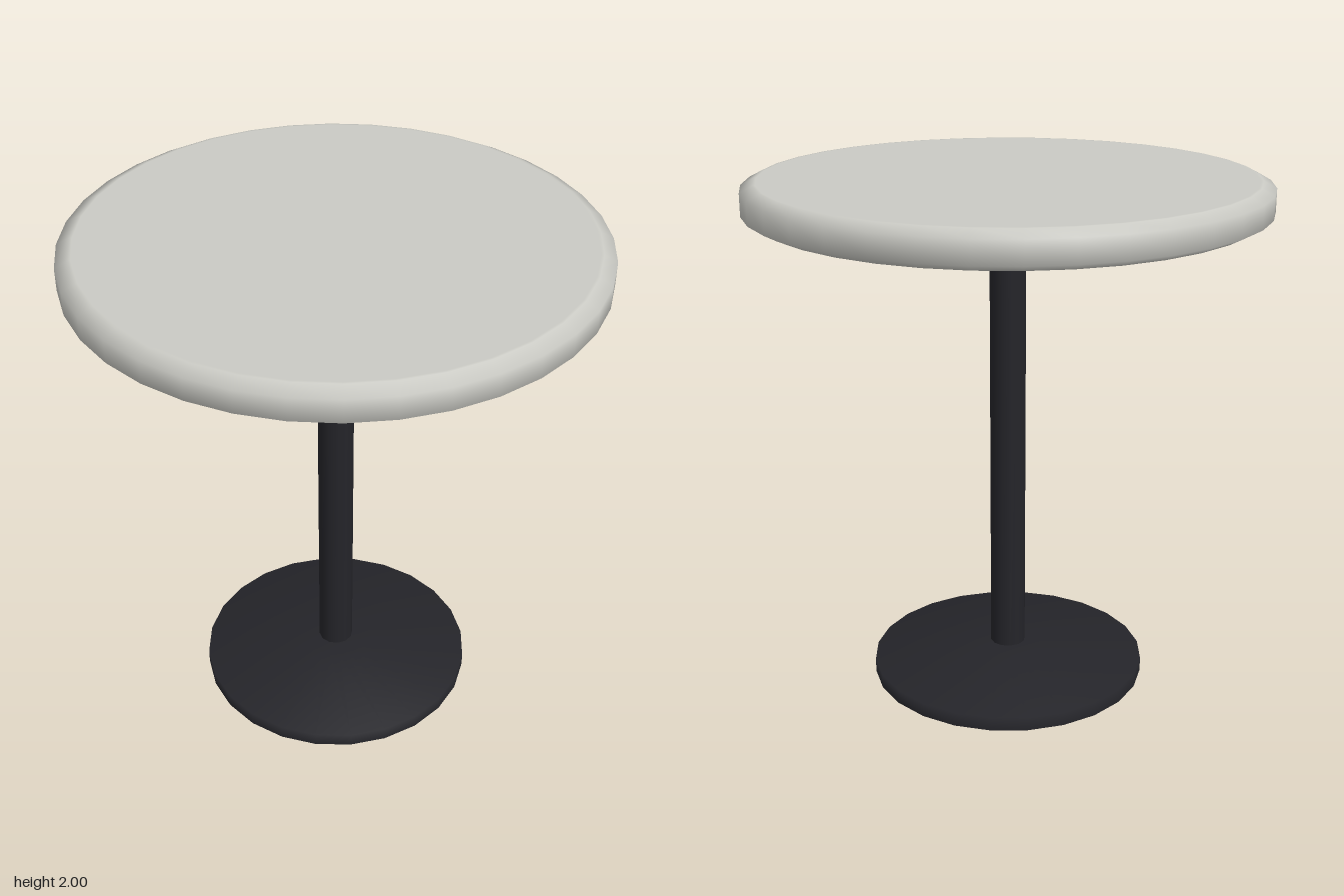
import * as THREE from 'three';

const material = (color) => new THREE.MeshStandardMaterial({ color, side: THREE.DoubleSide });

// Revolved open shell; profile runs from the bottom edge up to the axis
const shell = (points, segments) =>
  new THREE.LatheGeometry(points.map(([r, y]) => new THREE.Vector2(r, y)), segments);

export function createModel() {
  const table = new THREE.Group();
  table.name = 'pedestalTable';
  const topMat = material(0xcacac4);
  const darkMat = material(0x242429);

  const add = (name, geometry, mat) => {
    const mesh = new THREE.Mesh(geometry, mat);
    mesh.name = name;
    table.add(mesh);
    return mesh;
  };

  // Round top: a hollow shell, bevelled above and below, open underneath
  add('tabletop', shell([
    [0.925, 1.865], [0.973, 1.89], [0.973, 1.975], [0.925, 2], [0.915, 2], [0, 2],
  ], 36), topMat);

  // Column: an open tube reaching into the hollow foot and the hollow top
  const bottom = 0.075;
  const top = 1.895;
  const column = add('column',
    new THREE.CylinderGeometry(0.069, 0.069, top - bottom, 12, 1, true), darkMat);
  column.position.y = (top + bottom) / 2;
  column.rotation.y = Math.PI / 12;

  // Foot: a hollow, gently sloping disc, open underneath
  add('base', shell([[0.54, 0], [0.54, 0.055], [0.14, 0.11], [0, 0.11]], 24), darkMat);

  return table;
}
